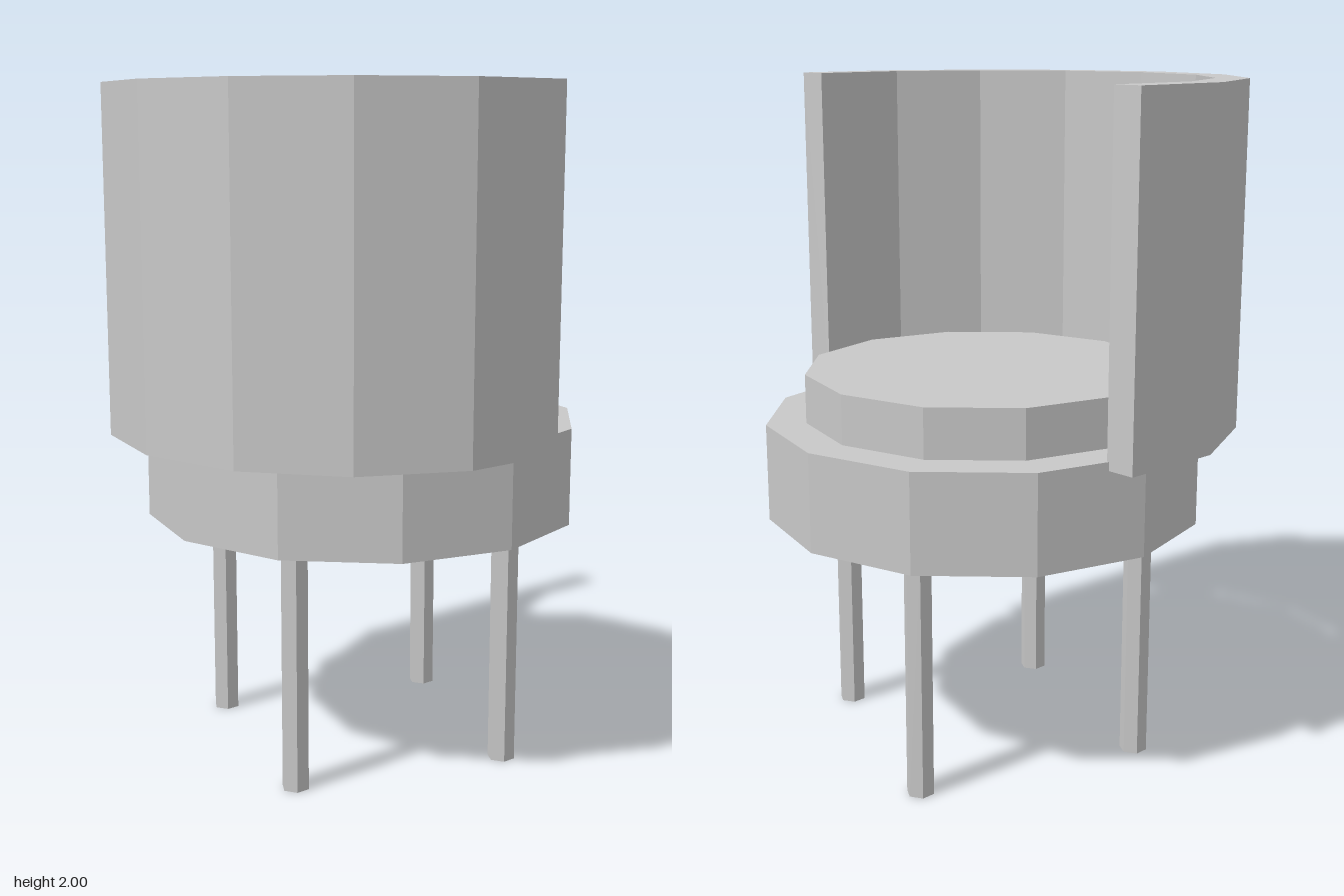
import * as THREE from 'three';

export function createModel() {
  const group = new THREE.Group();
  group.name = 'tubChair';
  const grey = new THREE.MeshStandardMaterial({ color: 0xc8c8c8, flatShading: true });
  grey.name = 'light grey';

  const add = (name, geometry, x, y, z) => {
    const mesh = new THREE.Mesh(geometry, grey);
    mesh.name = name;
    mesh.position.set(x, y, z);
    group.add(mesh);
  };

  // Upright prism standing between two heights
  const prism = (name, radius, sides, bottom, top, x, z) =>
    add(name, new THREE.CylinderGeometry(radius, radius, top - bottom, sides), x, (bottom + top) / 2, z);

  // Seat base and cushion
  prism('seatBase', 0.65, 12, 0.727, 1.015, 0, -0.06);
  prism('cushion', 0.53, 12, 1.015, 1.16, 0, -0.063);

  // Four hexagonal legs, set slightly twisted
  const legs = [[0.44, -0.245], [0.222, 0.37], [-0.434, 0.157], [-0.203, -0.497]];
  legs.forEach(([x, z], i) => prism('leg' + (i + 1), 0.041, 6, 0, 0.727, x, z));

  // Wrap-around backrest: part of a 14-sided ring with straight ends
  const centreZ = -0.015, endZ = -0.175;
  const arc = (radius) => {
    const points = [];
    for (let i = -3; i <= 3; i++) {
      const a = (i * Math.PI * 2) / 14;
      points.push(new THREE.Vector2(radius * Math.sin(a), centreZ + radius * Math.cos(a)));
    }
    points.unshift(new THREE.Vector2(points[0].x, endZ));
    points.push(new THREE.Vector2(points[points.length - 1].x, endZ));
    return points;
  };
  const outline = new THREE.Shape([...arc(0.722), ...arc(0.628).reverse()]);
  const back = new THREE.ExtrudeGeometry(outline, { depth: 1.01, bevelEnabled: false });
  back.rotateX(Math.PI / 2);
  add('backrest', back, 0, 2, 0);

  return group;
}
